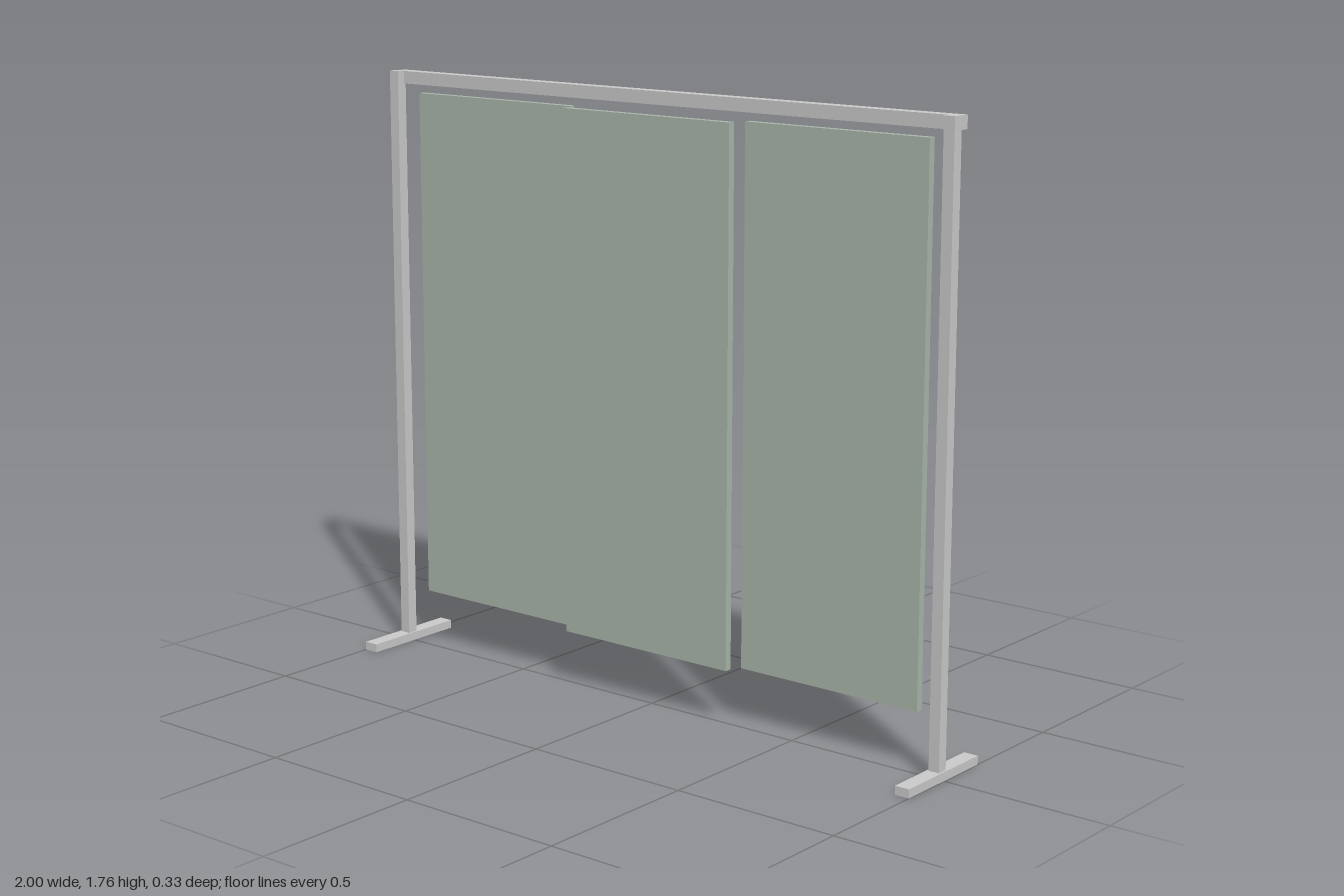
import * as THREE from 'three';

export function createModel() {
  const group = new THREE.Group();
  const frame = new THREE.MeshStandardMaterial({ color: 0xcccccc });
  const green = new THREE.MeshStandardMaterial({ color: 0xaab8ac });

  // Box given by its lower and upper limits on each axis
  function addBox(name, material, [x0, x1], [y0, y1], [z0, z1]) {
    const mesh = new THREE.Mesh(new THREE.BoxGeometry(x1 - x0, y1 - y0, z1 - z0), material);
    mesh.position.set((x0 + x1) / 2, (y0 + y1) / 2, (z0 + z1) / 2);
    mesh.name = name;
    group.add(mesh);
  }
  const around = (centre, size) => [centre - size / 2, centre + size / 2];

  // Feet and posts at both ends
  for (const [side, s] of [['left', 1], ['right', -1]]) {
    addBox(side + 'Foot', frame, around(s * 0.978, 0.044), [0, 0.025], [-0.165, 0.165]);
    addBox(side + 'Post', frame, around(s * 0.978, 0.033), [0.025, 1.76], [-0.016, 0.016]);
  }

  // Top rail, set towards the back of the posts
  addBox('topRail', frame, [-0.993, 0.993], [1.722, 1.759], [-0.045, -0.009]);

  // Three sliding panels, the middle one on the front track
  ['rightPanel', 'middlePanel', 'leftPanel'].forEach((name, i) => {
    const z = i === 1 ? 0.024 : -0.024;
    addBox(name, green, around((i - 1) * 0.607, 0.59), [0.167, 1.697], around(z, 0.022));
  });

  return group;
}
